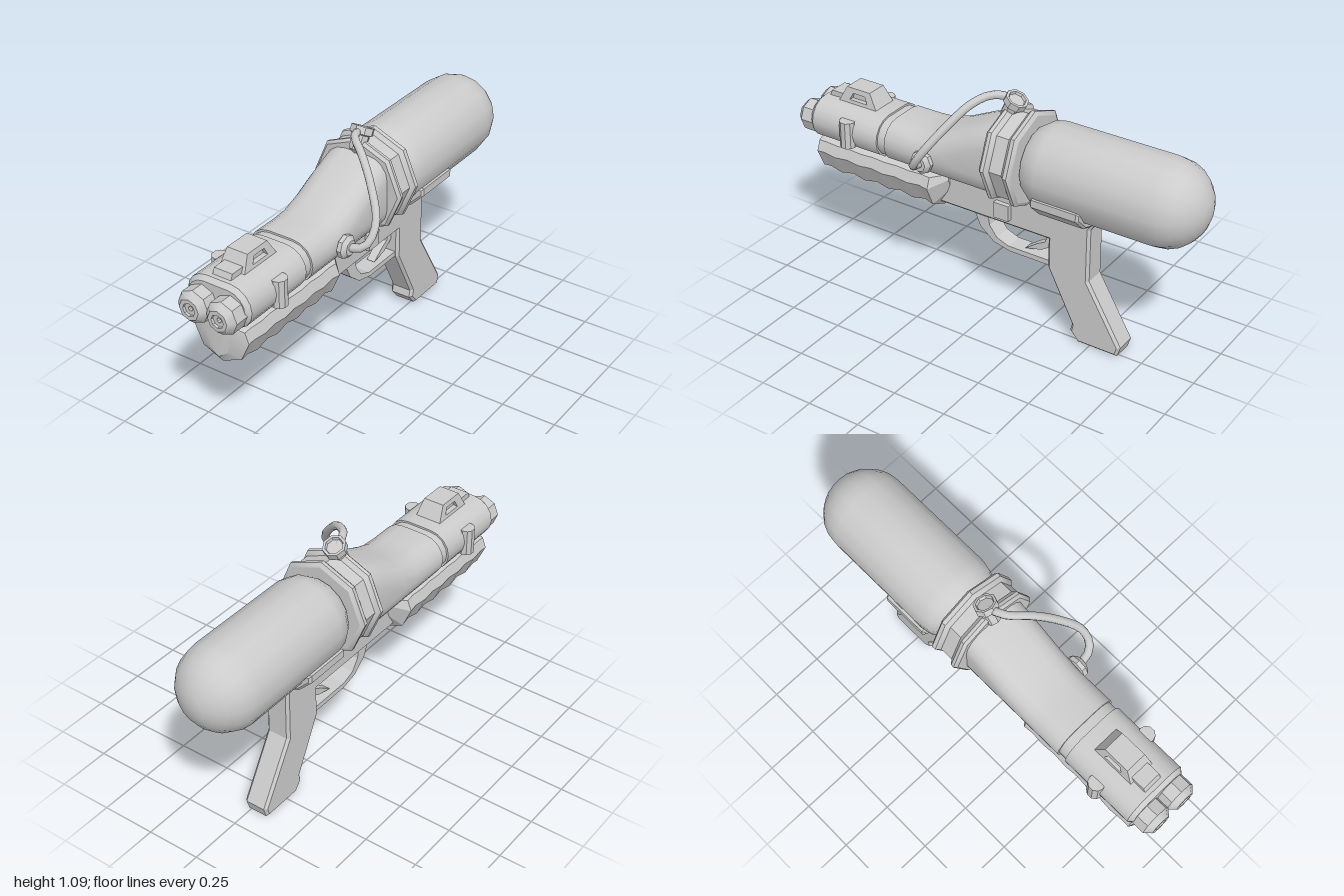
import * as THREE from 'three';
import { toCreasedNormals } from 'three/addons/utils/BufferGeometryUtils.js';

const CENTRE_X = -0.033;

export function createModel() {
  const root = new THREE.Group();
  root.name = 'waterBlaster';
  const material = new THREE.MeshStandardMaterial({ color: 0xcccccc });

  const add = (name, geometry, crease = 0.6) => {
    const mesh = new THREE.Mesh(toCreasedNormals(geometry, crease), material);
    mesh.name = name;
    mesh.position.x = CENTRE_X;
    root.add(mesh);
    return mesh;
  };

  // Lathe around the z axis from [radius, z] points, back to front
  const latheZ = (points, sides, x, y) =>
    new THREE.LatheGeometry(points.map(p => new THREE.Vector2(...p)), sides)
      .rotateX(Math.PI / 2).translate(x, y, 0);

  // Side profile in [z, y], extruded across x
  const sideExtrude = (points, width, bevel = 0, hole) => {
    const shape = new THREE.Shape(points.map(p => new THREE.Vector2(...p)));
    if (hole) shape.holes.push(new THREE.Path(hole.map(p => new THREE.Vector2(...p))));
    const depth = width - 2 * bevel;
    return new THREE.ExtrudeGeometry(shape, {
      depth, bevelEnabled: bevel > 0, bevelSize: bevel, bevelThickness: bevel,
      bevelOffset: -bevel, bevelSegments: 1,
    }).translate(0, 0, -depth / 2).rotateY(-Math.PI / 2);
  };

  // Skin over cross-sections running back to front, with closed ends
  const loft = rings => {
    const n = rings[0].points.length, pos = [], index = [];
    rings.forEach(r => r.points.forEach(([x, y]) => pos.push(x, y, r.z)));
    for (let i = 0; i < rings.length - 1; i++)
      for (let j = 0; j < n; j++) {
        const a = i * n + j, b = i * n + (j + 1) % n;
        index.push(a, b, b + n, a, b + n, a + n);
      }
    const last = (rings.length - 1) * n;
    for (let j = 1; j < n - 1; j++)
      index.push(0, j + 1, j, last, last + j, last + j + 1);
    const g = new THREE.BufferGeometry();
    g.setAttribute('position', new THREE.Float32BufferAttribute(pos, 3));
    g.setIndex(index);
    g.computeVertexNormals();
    return g;
  };

  // Water tank
  const tank = [];
  for (let i = 0; i <= 6; i++) {
    const a = (i / 6) * Math.PI / 2;
    tank.push([0.193 * Math.sin(a), -0.81 - 0.19 * Math.cos(a)]);
  }
  tank.push([0.193, -0.29], [0.183, -0.24], [0.155, -0.2], [0, -0.18]);
  add('tank', latheZ(tank, 16, 0, 0.81));

  // Octagonal collar with two raised rims
  add('collar', latheZ([[0, -0.19], [0.205, -0.19], [0.223, -0.178], [0.221, -0.16],
    [0.203, -0.143], [0.203, -0.082], [0.221, -0.065], [0.223, -0.05],
    [0.21, -0.037], [0, -0.037]], 8, 0, 0.81));

  // Rounded body section: the flat sides stretch as the top rises
  const bodySection = (z, top = 0.83, inset = 0) => {
    const r = 0.098 - inset, points = [];
    [[0.06, top - 0.098], [-0.06, top - 0.098], [-0.06, 0.733], [0.06, 0.733]]
      .forEach(([cx, cy], q) => {
        for (let i = 0; i <= 4; i++) {
          const a = (q + i / 4) * Math.PI / 2;
          points.push([cx + r * Math.cos(a), cy + r * Math.sin(a)]);
        }
      });
    return { z, points };
  };
  add('body', loft([bodySection(-0.06, 0.975), bodySection(-0.02, 0.965),
    bodySection(0.08, 0.925), bodySection(0.2, 0.868), bodySection(0.3, 0.835),
    bodySection(0.37), bodySection(0.498)]));
  add('barrelGroove', loft([bodySection(0.48, 0.83, 0.009), bodySection(0.56, 0.83, 0.009)]));
  add('barrel', loft([bodySection(0.54), bodySection(0.895), bodySection(0.915, 0.83, 0.018)]));

  for (const side of [-1, 1]) {
    // Nozzle with recessed outlet
    add('nozzle', latheZ([[0.075, 0.89], [0.075, 0.972], [0.048, 1], [0.03, 1],
      [0.03, 0.988], [0.011, 0.988], [0.011, 0.97], [0, 0.97]], 8, side * 0.07, 0.72));
    // Rounded lug on the barrel side
    add('barrelLug', new THREE.CylinderGeometry(0.037, 0.037, 0.125, 10)
      .translate(side * 0.145, 0.73, 0.705));
  }

  // Sight, narrowing upwards, with recessed side windows
  const sight = sideExtrude([[0.82, 0.815], [0.775, 0.9], [0.65, 0.9], [0.6, 0.815]], 0.13, 0,
    [[0.755, 0.845], [0.74, 0.877], [0.675, 0.877], [0.66, 0.845]]);
  const sp = sight.attributes.position;
  for (let i = 0; i < sp.count; i++)
    sp.setX(i, sp.getX(i) * (1 - 2.8 * (sp.getY(i) - 0.815)));
  add('sight', sight);
  add('sightCore', new THREE.BoxGeometry(0.075, 0.05, 0.11).translate(0, 0.86, 0.708));
  add('sightStep', sideExtrude([[0.88, 0.82], [0.865, 0.855], [0.79, 0.855], [0.79, 0.82]], 0.09));

  // Pump handle with finger ridges along its underside
  const half = [[0, 0.437], [0.097, 0.48], [0.139, 0.575], [0.12, 0.625], [0.06, 0.645]];
  const outline = [...half, ...half.slice(1).reverse().map(([x, y]) => [-x, y])];
  const pumpSection = (z, sx, sy) =>
    ({ z, points: outline.map(([x, y]) => [x * sx, 0.645 + (y - 0.645) * sy]) });
  const pump = [pumpSection(0.22, 0.5, 0.52), pumpSection(0.285, 1, 1)];
  for (let i = 0; i < 9; i++)
    pump.push(pumpSection(0.33 + i * 0.066, i % 2 ? 1 : 0.97, i % 2 ? 1 : 0.925));
  pump.push(pumpSection(0.895, 0.98, 0.95), pumpSection(0.918, 0.46, 0.79));
  add('pumpHandle', loft(pump), 0.4);

  // Receiver and pistol grip in one profile
  add('receiverGrip', sideExtrude([[0.3, 0.65], [-0.49, 0.65], [-0.507, 0.62], [-0.487, 0.585],
    [-0.487, 0.33], [-0.652, 0.05], [-0.637, 0.003], [-0.442, 0.003], [-0.402, 0.05],
    [-0.41, 0.085], [-0.283, 0.335], [-0.283, 0.475], [0.3, 0.475]].reverse(), 0.115, 0.012), 0.3);
  add('sideButton', new THREE.BoxGeometry(0.04, 0.075, 0.075).translate(0.06, 0.548, -0.06));

  // Trigger guard and trigger
  add('triggerGuard', sideExtrude([[0.1, 0.48], [0.07, 0.415], [0, 0.358], [-0.085, 0.338],
    [-0.29, 0.338], [-0.29, 0.362], [-0.075, 0.362], [-0.015, 0.385], [0.022, 0.435],
    [0.03, 0.48]].reverse(), 0.085), 0.3);
  add('trigger', sideExtrude([[-0.265, 0.48], [-0.248, 0.43], [-0.21, 0.41], [-0.15, 0.367],
    [-0.23, 0.385], [-0.29, 0.425], [-0.29, 0.48]].reverse(), 0.04), 0.3);

  // Cradle wrapping the underside of the tank
  const cradle = new THREE.Shape([[-0.19, 0.735], [-0.19, 0.7], [-0.125, 0.635], [-0.07, 0.615],
    [0.07, 0.615], [0.125, 0.635], [0.19, 0.7], [0.19, 0.735]].map(p => new THREE.Vector2(...p)));
  add('tankCradle', new THREE.ExtrudeGeometry(cradle, {
    depth: 0.215, bevelSize: 0.01, bevelThickness: 0.01, bevelOffset: -0.01, bevelSegments: 1,
  }).translate(0, 0, -0.495), 0.3);

  // Tilted filler cap on the collar, hose and side fitting
  const cap = add('hoseCap', new THREE.LatheGeometry([[0, -0.08], [0.035, -0.06], [0.04, 0.005],
    [0.052, 0.01], [0.052, 0.042], [0.04, 0.042], [0.036, 0.03], [0, 0.03]]
    .map(p => new THREE.Vector2(...p)), 8));
  cap.position.set(CENTRE_X, 1.03, -0.07);
  cap.rotation.x = -0.5;
  const hosePath = new THREE.CatmullRomCurve3([[0, 1.03, -0.08], [0, 1.06, -0.05],
    [0.03, 1.066, 0.015], [0.1, 1.04, 0.07], [0.19, 0.955, 0.135], [0.268, 0.84, 0.21],
    [0.266, 0.765, 0.26], [0.235, 0.738, 0.28], [0.17, 0.725, 0.285]]
    .map(p => new THREE.Vector3(...p)), false, 'centripetal');
  add('hose', new THREE.TubeGeometry(hosePath, 20, 0.018, 8), 0.9);
  add('hoseFitting', new THREE.LatheGeometry([[0.04, -0.04], [0.04, 0], [0.053, 0.005],
    [0.053, 0.025], [0.035, 0.042], [0, 0.042]].map(p => new THREE.Vector2(...p)), 8)
    .rotateZ(-Math.PI / 2).translate(0.155, 0.727, 0.285));

  return root;
}
